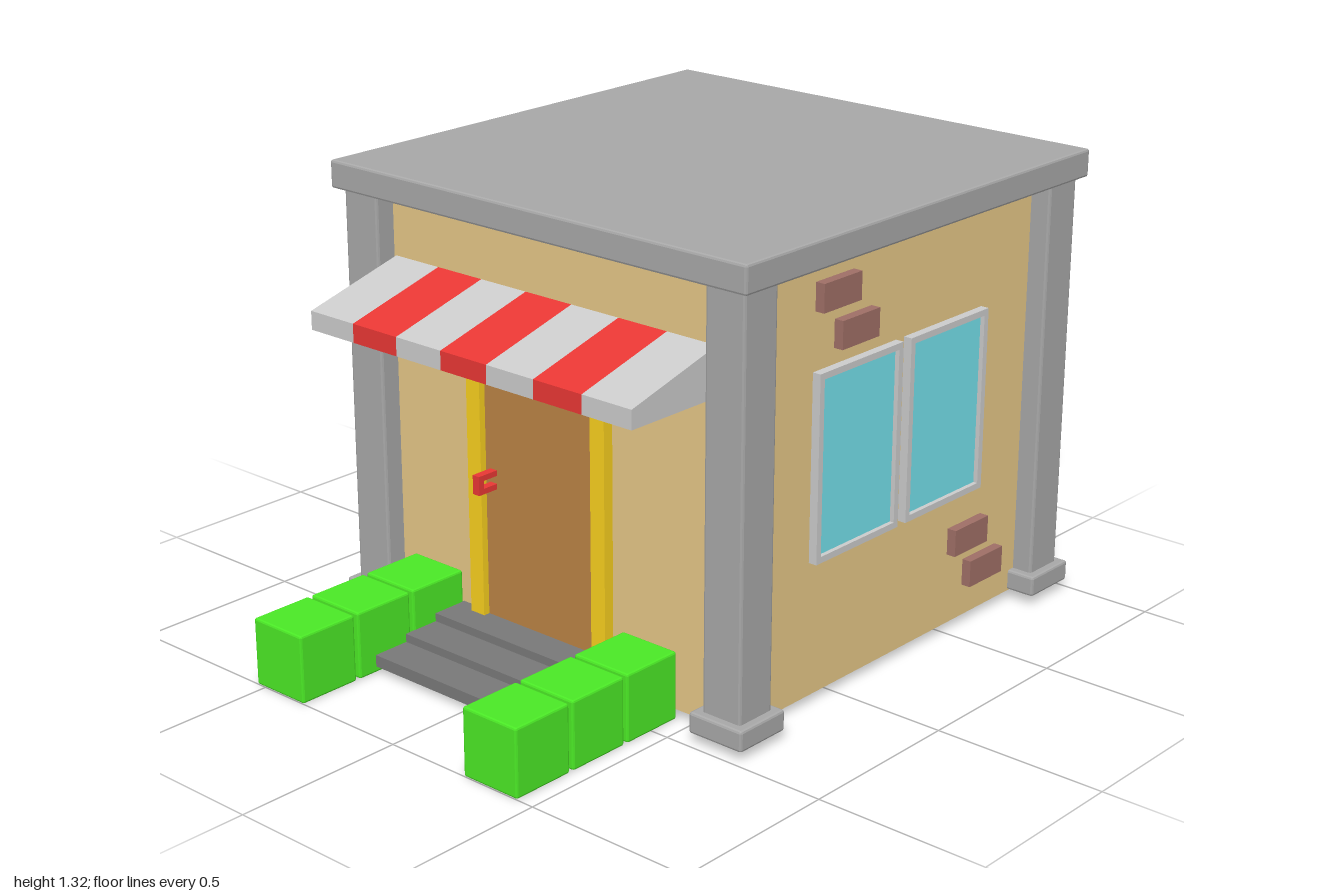
import * as THREE from 'three';
import { RoundedBoxGeometry } from 'three/addons/geometries/RoundedBoxGeometry.js';

const mat = (color) => new THREE.MeshStandardMaterial({ color, flatShading: true });
const M = {
  wall: mat(0xe5c787), stone: mat(0xa8a8a8), light: mat(0xcccccc), step: mat(0x797979),
  red: mat(0xe93734), green: mat(0x4be926), brick: mat(0x9f6f66),
  glass: mat(0x74e0eb), door: mat(0xba8344), trim: mat(0xf8cf1e),
};

// Box given by its [min, max] on each axis, with an optional small bevel
function box(parent, name, material, [x0, x1], [y0, y1], [z0, z1], bevel = 0) {
  const size = [x1 - x0, y1 - y0, z1 - z0];
  const geo = bevel ? new RoundedBoxGeometry(...size, 1, bevel) : new THREE.BoxGeometry(...size);
  const mesh = new THREE.Mesh(geo, material);
  mesh.name = name;
  mesh.position.set((x0 + x1) / 2, (y0 + y1) / 2, (z0 + z1) / 2);
  parent.add(mesh);
  return mesh;
}

const around = (c, half) => [c - half, c + half];

function addGroup(parent, name) {
  const g = new THREE.Group();
  g.name = name;
  parent.add(g);
  return g;
}

export function createModel() {
  const model = new THREE.Group();
  model.name = 'shop';
  const cx = 0.2525, wallX = -0.4, wallZ = 0.65;

  // Walls and flat roof
  box(model, 'walls', M.wall, [wallX, 0.905], [0.025, 1.25], [-wallZ, wallZ]);
  box(model, 'roof', M.stone, around(cx, 0.7375), [1.24, 1.32], around(-0.002, 0.736), 0.007);

  // Corner pillars on square bases
  for (const sx of [-1, 1]) for (const sz of [-1, 1]) {
    const pillar = addGroup(model, 'cornerPillar');
    const x = cx + sx * 0.65, z = sz * 0.648;
    box(pillar, 'pillarShaft', M.stone, around(x, 0.063), [0.04, 1.245], around(z, 0.063), 0.007);
    box(pillar, 'pillarBase', M.stone, around(x, 0.088), [0.028, 0.088], around(z, 0.088), 0.007);
  }

  // Front windows: frame with an opening, glass set back inside
  for (const x of [0.06, 0.445]) {
    const win = addGroup(model, 'window');
    const w = 0.175, h = 0.2625, t = 0.018;
    const rect = (P, a, b) => new P([[-a, -b], [a, -b], [a, b], [-a, b]].map((p) => new THREE.Vector2(...p)));
    const shape = rect(THREE.Shape, w, h);
    shape.holes.push(rect(THREE.Path, w - t, h - t));
    const frame = new THREE.Mesh(new THREE.ExtrudeGeometry(shape, { depth: 0.03, bevelEnabled: false }), M.light);
    frame.name = 'windowFrame';
    frame.position.set(x, 0.6725, wallZ - 0.005);
    win.add(frame);
    box(win, 'windowGlass', M.glass, around(x, w - t), around(0.6725, h - t), [wallZ - 0.01, wallZ + 0.012]);
  }

  // Bricks showing through the front wall
  for (const [x, y] of [[-0.033, 1.135], [0.047, 1.018], [0.582, 0.275], [0.66, 0.158]]) {
    box(model, 'brick', M.brick, around(x, 0.077), around(y, 0.039), [wallZ - 0.01, wallZ + 0.028]);
  }

  // Door on the right wall, with frame and handle
  const doorway = addGroup(model, 'doorway');
  box(doorway, 'door', M.door, [-0.412, -0.39], [0.09, 0.92], [-0.25, 0.18]);
  box(doorway, 'doorPost', M.trim, [-0.432, -0.39], [0.03, 0.97], [-0.285, -0.235]);
  box(doorway, 'doorPost', M.trim, [-0.432, -0.39], [0.03, 0.97], [0.17, 0.22]);
  box(doorway, 'doorLintel', M.trim, [-0.432, -0.39], [0.92, 0.97], [-0.235, 0.17]);
  const handleZ = [-0.218, -0.194];
  box(doorway, 'doorHandle', M.red, [-0.48, -0.462], [0.48, 0.535], handleZ);
  for (const y of [0.488, 0.527]) {
    box(doorway, 'handleStub', M.red, [-0.462, -0.405], around(y, 0.008), handleZ);
  }

  // Striped awning: a wedge with a vertical lip
  const awning = addGroup(model, 'awning');
  const profile = new THREE.Shape([[-0.713, 0.925], [-0.395, 0.925], [-0.395, 1.063], [-0.713, 0.978]]
    .map((p) => new THREE.Vector2(...p)));
  const stripe = 1.15 / 7;
  const stripeGeo = new THREE.ExtrudeGeometry(profile, { depth: stripe, bevelEnabled: false });
  for (let i = 0; i < 7; i++) {
    const mesh = new THREE.Mesh(stripeGeo, i % 2 ? M.red : M.light);
    mesh.name = 'awningStripe';
    mesh.position.z = -0.578 + i * stripe;
    awning.add(mesh);
  }

  // Three shallow steps up to the door
  for (let i = 0; i < 3; i++) {
    const x = -0.738 + i * 0.113;
    box(model, 'step', M.step, [x, x + 0.113], [0.018, 0.052 + i * 0.024], [-0.347, 0.262]);
  }

  // Two rows of block hedges beside the steps
  for (const z of [-0.439, 0.354]) for (let i = 0; i < 3; i++) {
    box(model, 'hedgeBlock', M.green, around(-0.905 + i * 0.203, 0.095), [0, 0.195], around(z, 0.0935), 0.006);
  }

  return model;
}
